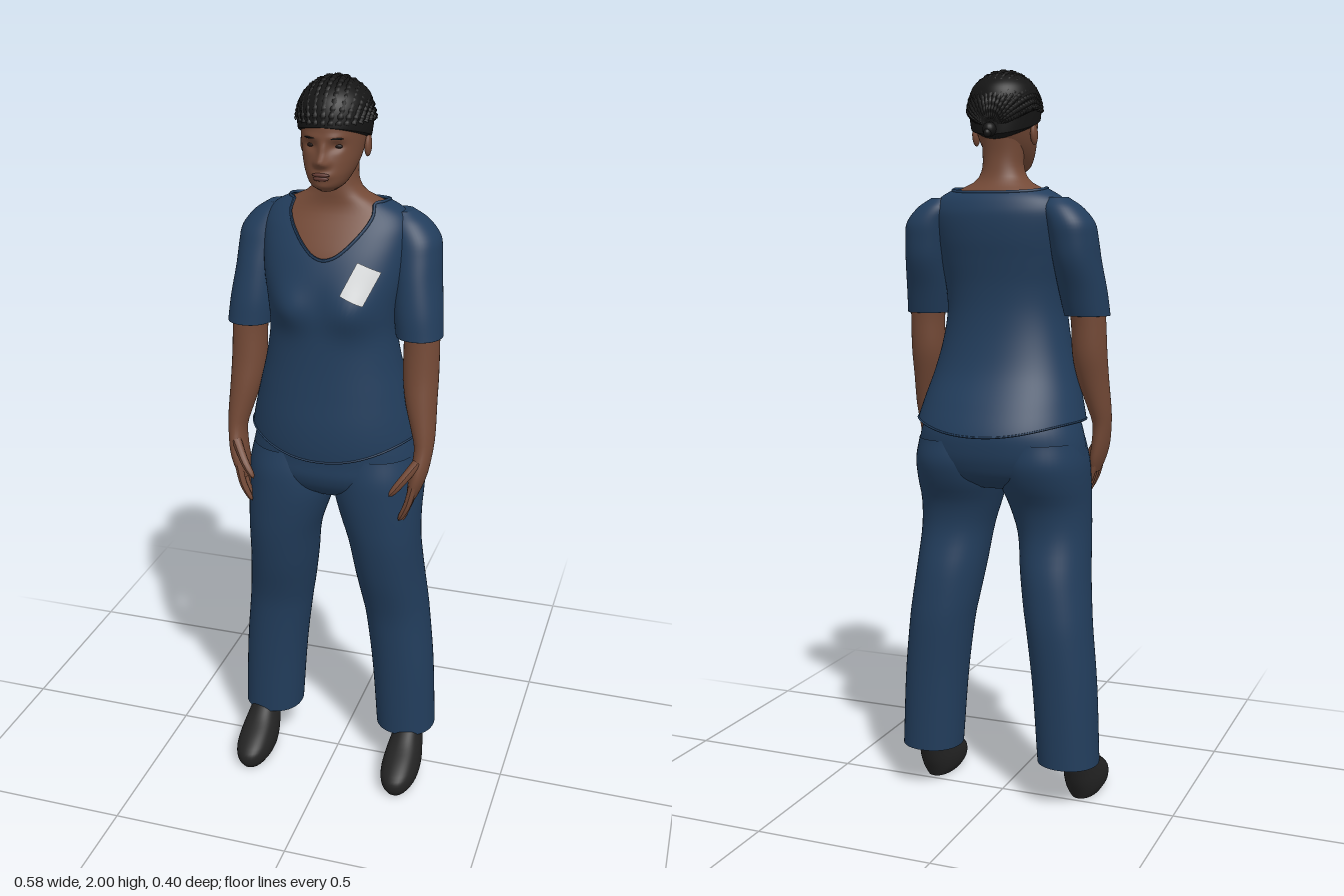
import * as THREE from 'three';

const material = (name, color, side = THREE.FrontSide) => {
  const m = new THREE.MeshStandardMaterial({ color, side });
  m.name = name;
  return m;
};

// Section rows are [y, centre x, half width, front z, back z], from low to high.
function sample(rows, y) {
  const last = rows.length - 1;
  y = Math.min(Math.max(y, rows[0][0]), rows[last][0]);
  let i = 0;
  while (i < last - 1 && y > rows[i + 1][0]) i++;
  const h = rows[i + 1][0] - rows[i][0], t = (y - rows[i][0]) / h;
  const slope = (j, k) => {
    const a = rows[Math.max(j - 1, 0)], b = rows[Math.min(j + 1, last)];
    return (b[k] - a[k]) / (b[0] - a[0]);
  };
  return [1, 2, 3, 4].map((k) => {
    const t2 = t * t, t3 = t2 * t;
    return (2 * t3 - 3 * t2 + 1) * rows[i][k] + (t3 - 2 * t2 + t) * h * slope(i, k)
      + (3 * t2 - 2 * t3) * rows[i + 1][k] + (t3 - t2) * h * slope(i + 1, k);
  });
}

// Smooth skin over the sections; lo and hi give the edge heights round the ring.
function loft(rows, { side = 1, n = 2, nu = 48, nv = 40, lo, hi, bump, caps = true } = {}) {
  const pos = [], idx = [], first = rows[0][0], top = rows[rows.length - 1][0];
  for (let j = 0; j <= nv; j++) for (let i = 0; i < nu; i++) {
    const a = (i / nu) * Math.PI * 2, c = Math.cos(a), s = Math.sin(a);
    const y0 = lo ? lo(c, s) : first, y1 = hi ? hi(c, s) : top;
    const y = y0 + (y1 - y0) * (0.5 - 0.5 * Math.cos(Math.PI * j / nv));
    const [cx, rx, zf, zb] = sample(rows, y);
    const x = side * cx + Math.max(rx, 0.001) * Math.sign(c) * Math.abs(c) ** (2 / n);
    let z = (zf + zb) / 2 + (zf - zb) / 2 * Math.sign(s) * Math.abs(s) ** (2 / n);
    if (bump && s > 0) z += bump(x, y) * Math.min(1, s * 3);
    pos.push(x, y, z);
  }
  for (let j = 0; j < nv; j++) for (let i = 0; i < nu; i++) {
    const a = j * nu + i, b = j * nu + (i + 1) % nu;
    idx.push(a, a + nu, b, b, a + nu, b + nu);
  }
  if (caps) for (const [row, end] of [[rows[0], 0], [rows[rows.length - 1], nv]]) {
    const c = pos.length / 3;
    pos.push(side * row[1], row[0], (row[3] + row[4]) / 2);
    for (let i = 0; i < nu; i++) {
      const a = end * nu + i, b = end * nu + (i + 1) % nu;
      idx.push(c, ...(end ? [b, a] : [a, b]));
    }
  }
  const g = new THREE.BufferGeometry();
  g.setAttribute('position', new THREE.Float32BufferAttribute(pos, 3));
  g.setIndex(idx);
  g.computeVertexNormals();
  return g;
}

// Tube whose radius follows a rule along its length.
function taperTube(points, radius, seg = 16, radial = 8, closed = false) {
  const curve = new THREE.CatmullRomCurve3(points, closed);
  const g = new THREE.TubeGeometry(curve, seg, 1, radial, closed);
  const p = g.attributes.position, v = new THREE.Vector3();
  for (let k = 0; k < p.count; k++) {
    const t = Math.floor(k / (radial + 1)) / seg, c = curve.getPointAt(t);
    v.fromBufferAttribute(p, k).sub(c).multiplyScalar(radius(t)).add(c);
    p.setXYZ(k, v.x, v.y, v.z);
  }
  g.computeVertexNormals();
  return g;
}

// Sum of soft mounds [x, y, width, height, depth], mirrored in x.
const mounds = (list) => (x, y) => list.reduce((sum, [mx, my, w, h, d]) =>
  sum + d * Math.exp(-(((Math.abs(x) - mx) / w) ** 2) - ((y - my) / h) ** 2), 0);

const TORSO = [
  [1.0, 0, 0.238, 0.178, -0.215], [1.06, 0, 0.235, 0.183, -0.197], [1.12, 0, 0.222, 0.182, -0.168],
  [1.2, 0, 0.2, 0.174, -0.124], [1.28, 0, 0.18, 0.167, -0.1], [1.36, 0, 0.168, 0.163, -0.089],
  [1.43, 0, 0.172, 0.163, -0.09], [1.5, 0, 0.185, 0.154, -0.1], [1.56, 0, 0.192, 0.133, -0.11],
  [1.62, 0, 0.195, 0.1, -0.113], [1.65, 0, 0.185, 0.08, -0.106], [1.67, 0, 0.165, 0.067, -0.096],
  [1.69, 0, 0.128, 0.056, -0.078], [1.7, 0, 0.107, 0.05, -0.066]];
const CHEST = [
  [1.45, 0, 0.165, 0.15, -0.085], [1.56, 0, 0.184, 0.127, -0.1], [1.62, 0, 0.186, 0.095, -0.104],
  [1.65, 0, 0.175, 0.075, -0.096], [1.67, 0, 0.152, 0.064, -0.086], [1.69, 0, 0.112, 0.06, -0.069],
  [1.71, 0, 0.074, 0.061, -0.056], [1.74, 0, 0.057, 0.06, -0.049], [1.78, 0, 0.055, 0.055, -0.047],
  [1.84, 0, 0.056, 0.05, -0.056]];
const HEAD = [
  [1.73, 0, 0.022, 0.115, 0.04], [1.745, 0, 0.042, 0.137, 0.02], [1.77, 0, 0.058, 0.141, -0.01],
  [1.8, 0, 0.07, 0.137, -0.04], [1.83, 0, 0.077, 0.131, -0.06], [1.86, 0, 0.081, 0.13, -0.075],
  [1.9, 0, 0.083, 0.125, -0.083], [1.94, 0, 0.072, 0.105, -0.075], [1.97, 0, 0.045, 0.065, -0.045]];
const HAIR = [
  [1.8, 0, 0.075, 0.1, -0.085], [1.86, 0, 0.09, 0.127, -0.09], [1.91, 0, 0.094, 0.126, -0.091],
  [1.95, 0, 0.084, 0.11, -0.08], [1.975, 0, 0.06, 0.082, -0.052], [1.988, 0, 0.033, 0.05, -0.02],
  [1.992, 0, 0.003, 0.018, 0.012]];
const PELVIS = [
  [0.89, 0, 0.1, 0.09, -0.08], [0.92, 0, 0.2, 0.13, -0.125], [0.96, 0, 0.236, 0.149, -0.147],
  [1.0, 0, 0.236, 0.15, -0.156], [1.05, 0, 0.225, 0.15, -0.156], [1.12, 0, 0.2, 0.145, -0.13]];
const LEG = [
  [0.125, 0.205, 0.085, 0.065, -0.106], [0.34, 0.192, 0.088, 0.073, -0.111], [0.5, 0.175, 0.09, 0.083, -0.116],
  [0.55, 0.168, 0.092, 0.092, -0.114], [0.65, 0.155, 0.095, 0.118, -0.104], [0.76, 0.144, 0.1, 0.139, -0.082],
  [0.84, 0.131, 0.112, 0.147, -0.093], [0.9, 0.1225, 0.1215, 0.15, -0.125], [0.96, 0.121, 0.121, 0.148, -0.145],
  [1.02, 0.118, 0.112, 0.135, -0.14]];
const SLEEVE = [
  [1.355, 0.23, 0.061, 0.098, -0.03], [1.42, 0.222, 0.063, 0.092, -0.052], [1.5, 0.213, 0.062, 0.076, -0.084],
  [1.56, 0.207, 0.063, 0.06, -0.094], [1.6, 0.2, 0.063, 0.048, -0.096], [1.64, 0.178, 0.053, 0.028, -0.083],
  [1.665, 0.165, 0.028, 0.005, -0.06]];
const ARM = [
  [0.925, 0.236, 0.013, 0.128, 0.064], [0.96, 0.244, 0.02, 0.137, 0.052], [1.0, 0.253, 0.023, 0.135, 0.048],
  [1.06, 0.26, 0.025, 0.116, 0.043], [1.1, 0.256, 0.031, 0.11, 0.03], [1.18, 0.243, 0.042, 0.098, 0.006],
  [1.25, 0.237, 0.047, 0.086, -0.012], [1.34, 0.235, 0.047, 0.077, -0.02], [1.42, 0.228, 0.05, 0.075, -0.03]];
const SHOE = [
  [0, 0.222, 0.038, 0.185, 0.015], [0.02, 0.222, 0.05, 0.198, 0.004], [0.05, 0.222, 0.054, 0.194, -0.012],
  [0.08, 0.222, 0.05, 0.155, -0.024], [0.11, 0.222, 0.043, 0.1, -0.034], [0.14, 0.222, 0.035, 0.06, -0.035]];

export function createModel() {
  const model = new THREE.Group();
  model.name = 'standingFigure';
  const cloth = material('navyCloth', 0x223d5c, THREE.DoubleSide);
  const skin = material('skin', 0x734936), hair = material('hair', 0x151515);
  const leather = material('shoeLeather', 0x232323);
  const white = material('badgeWhite', 0xd8dadb, THREE.DoubleSide);
  const eyeDark = material('eyeDark', 0x1d1412), lip = material('lip', 0x5f3830);
  const add = (name, geometry, mat) => {
    const m = new THREE.Mesh(geometry, mat);
    m.name = name;
    model.add(m);
    return m;
  };
  const ball = (name, mat, at, size) => {
    const m = add(name, new THREE.SphereGeometry(1, 20, 14), mat);
    m.position.set(...at);
    m.scale.set(...size);
    return m;
  };

  // Shirt body with a V neckline and a dipping hem
  const bust = mounds([[0.085, 1.435, 0.055, 0.055, 0.022]]);
  const neckline = (c, s) => s > 0
    ? 1.56 + 0.13 * THREE.MathUtils.smoothstep(Math.abs(c), 0, 0.85) : 1.69 + 0.012 * s;
  const hem = (c, s) => 1.077 - (s > 0 ? 0.05 : 0.032) * Math.abs(s) ** 3;
  add('shirtBody', loft(TORSO, { n: 2.15, nu: 80, nv: 70, lo: hem, hi: neckline, bump: bust, caps: false }), cloth);
  const edge = (fn) => Array.from({ length: 48 }, (_, i) => {
    const a = (i / 48) * Math.PI * 2, c = Math.cos(a), s = Math.sin(a), y = fn(c, s);
    const [, rx, zf, zb] = sample(TORSO, y), e = 2 / 2.15;
    return new THREE.Vector3(rx * Math.sign(c) * Math.abs(c) ** e, y,
      (zf + zb) / 2 + (zf - zb) / 2 * Math.sign(s) * Math.abs(s) ** e);
  });
  add('collarBand', taperTube(edge(neckline), () => 0.004, 96, 6, true), cloth);
  add('shirtHem', taperTube(edge(hem), () => 0.003, 96, 6, true), cloth);

  // Badge lying on the chest
  const badge = new THREE.PlaneGeometry(0.063, 0.086, 8, 8).rotateZ(-0.42).translate(0.1, 1.509, 0);
  const bp = badge.attributes.position;
  for (let i = 0; i < bp.count; i++) {
    const x = bp.getX(i), y = bp.getY(i), [, rx, zf, zb] = sample(TORSO, y);
    bp.setZ(i, (zf + zb) / 2 + (zf - zb) / 2 * (1 - (x / rx) ** 2.15) ** (1 / 2.15) + bust(x, y) + 0.005);
  }
  badge.computeVertexNormals();
  add('badge', badge, white);

  // Neck, upper chest and head
  add('neckAndChest', loft(CHEST, { n: 2.1, nu: 64 }), skin);
  const face = mounds([
    [0, 1.808, 0.014, 0.014, 0.022], [0, 1.832, 0.01, 0.02, 0.011], [0.014, 1.802, 0.008, 0.008, 0.006],
    [0, 1.773, 0.026, 0.011, 0.007], [0.033, 1.842, 0.017, 0.011, -0.01], [0.03, 1.864, 0.025, 0.008, 0.004],
    [0, 1.747, 0.02, 0.01, 0.003]]);
  add('head', loft(HEAD, { nu: 96, nv: 80, bump: face }), skin);
  ball('upperLip', lip, [0, 1.777, 0.144], [0.023, 0.005, 0.006]);
  ball('lowerLip', lip, [0, 1.768, 0.144], [0.02, 0.006, 0.006]);
  for (const s of [1, -1]) {
    ball('eye', eyeDark, [s * 0.033, 1.842, 0.109], [0.012, 0.0055, 0.006]);
    ball('eyebrow', hair, [s * 0.034, 1.862, 0.122], [0.017, 0.0025, 0.004]).rotation.y = s * 0.4;
    ball('ear', skin, [s * 0.083, 1.83, 0.016], [0.009, 0.028, 0.017]).rotation.x = -0.15;
  }

  // Braided hair gathered into a small knot
  add('hairCap', loft(HAIR, { nu: 64, lo: (c, s) => 1.857 + 0.031 * s }), hair);
  const centre = new THREE.Vector3(0, 1.89, 0.016), radii = new THREE.Vector3(0.093, 0.102, 0.107);
  for (let k = -9; k <= 9; k++) {
    const a = (k / 9) * 1.75, sa = Math.sin(a), ca = Math.cos(a);
    const bend = new THREE.QuadraticBezierCurve3(new THREE.Vector3(sa, 0.02, ca),
      new THREE.Vector3(sa, 1.3 * Math.max(ca, 0) + 0.25, -0.1), new THREE.Vector3(0.1 * sa, -0.45, -1));
    const path = bend.getPoints(12).map((d) => d.normalize().multiply(radii).add(centre));
    add('braid', taperTube(path, (t) => (0.0085 - 0.003 * t) * (1 + 0.16 * Math.sin(t * 130)), 80, 6), hair);
  }
  ball('hairKnot', hair, [0, 1.838, -0.094], [0.018, 0.019, 0.02]);
  ball('hairTail', hair, [0, 1.828, -0.108], [0.01, 0.011, 0.012]);

  // Trousers, limbs and shoes
  add('trouserSeat', loft(PELVIS, { n: 2.2 }), cloth);
  for (const side of [1, -1]) {
    add('trouserLeg', loft(LEG, { side, n: 2.15, nv: 50, caps: false }), cloth);
    const lining = add('trouserLining', new THREE.CircleGeometry(1, 32).rotateX(Math.PI / 2), cloth);
    lining.position.set(side * 0.205, 0.14, -0.02);
    lining.scale.set(0.084, 1, 0.084);
    add('shoe', loft(SHOE, { side, n: 2.2, nv: 24 }), leather);
    add('sleeve', loft(SLEEVE, { side, n: 2.1 }), cloth);
    add('arm', loft(ARM, { side, nu: 32 }), skin);
    const finger = (name, pts, r) => add(name, taperTube(
      pts.map(([x, y, z]) => new THREE.Vector3(side * x, y, z)),
      (t) => r * (1 - 0.25 * t) * Math.sqrt(Math.max(1 - t ** 8, 0))), skin);
    [[0.127, 0.86], [0.105, 0.846], [0.085, 0.85], [0.066, 0.872]].forEach(([z, tip]) =>
      finger('finger', [[0.244, 0.965, z], [0.23, 0.91, z + 0.004], [0.207, tip, z]], 0.0115));
    finger('thumb', [[0.252, 1.03, 0.115], [0.218, 0.985, 0.148], [0.188, 0.945, 0.162]], 0.0135);
  }
  return model;
}
